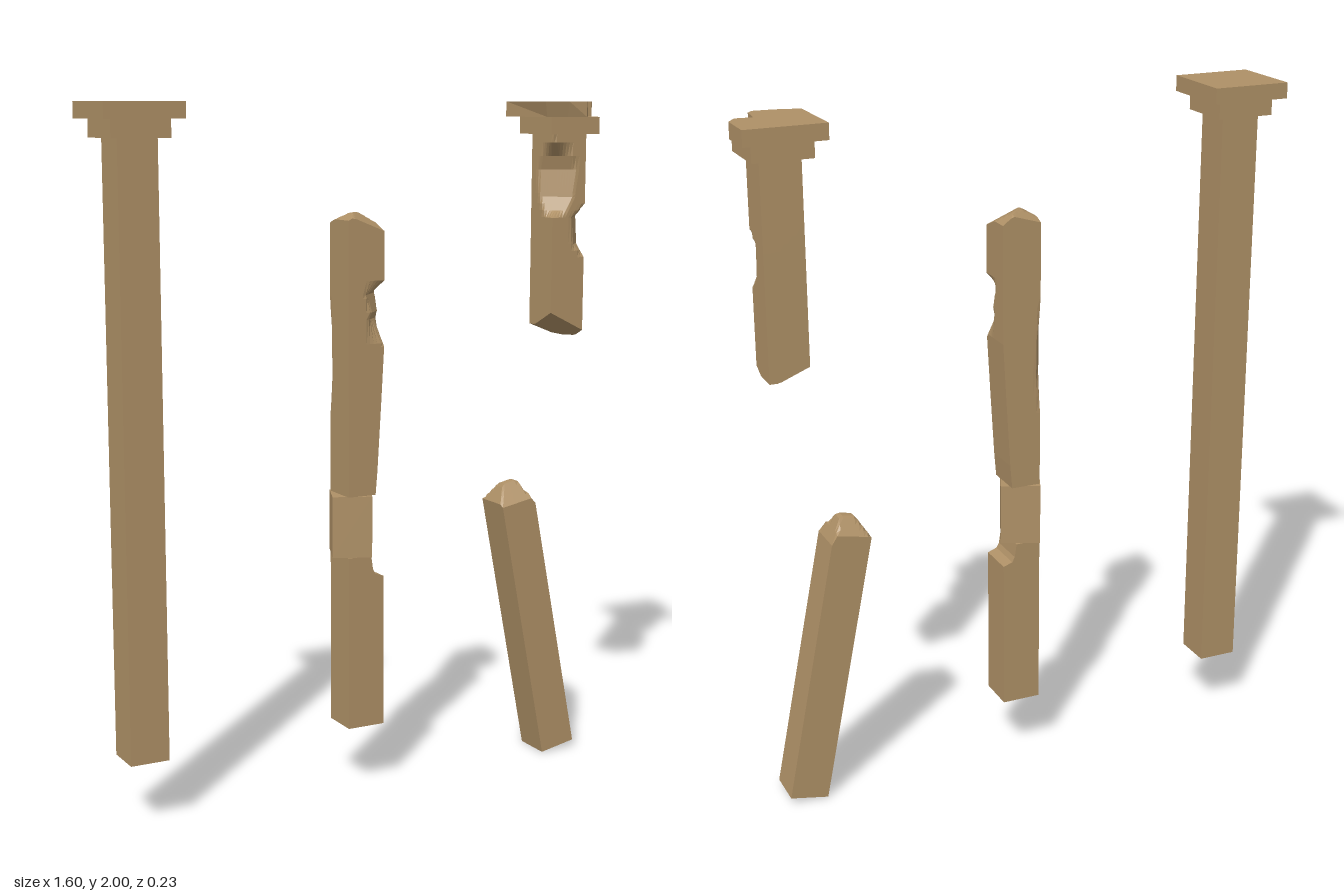
import * as THREE from 'three';

const stone = new THREE.MeshStandardMaterial({ color: 0xae9066, flatShading: true });
const W = 0.115, D = Math.SQRT1_2;
const SEAMS = [0.355, 0.53, 0.7, 0.88, 1.05, 1.22, 1.39, 1.56, 1.73];

function add(group, name, geometry) {
  const mesh = new THREE.Mesh(geometry, stone);
  mesh.name = name;
  group.add(mesh);
  return mesh;
}

function slab(group, name, w, y0, y1) {
  return add(group, name, new THREE.BoxGeometry(w, y1 - y0, w).translate(0, (y0 + y1) / 2, 0));
}

// Limit of a cut at height y, Infinity outside its profile
function limitAt(profile, y) {
  for (let i = 0; i < profile.length - 1; i++) {
    const [ya, a] = profile[i], [yb, b] = profile[i + 1];
    if (y >= ya && y <= yb) return a + (b - a) * (y - ya) / (yb - ya);
  }
  return Infinity;
}

// Block worn by side cuts and by sloping planes [height, x slope, z slope]
function wornBlock(group, name, y0, y1, { cuts = [], tops = [], bottoms = [] }) {
  const ys = [y0, y1];
  for (const c of cuts) for (const [y] of c.profile) if (y > y0 && y < y1) ys.push(y);
  const rings = [...new Set(ys)].sort((a, b) => a - b), n = rings.length - 1;
  const geo = new THREE.BoxGeometry(W, 1, W, 10, n, 10);
  const p = geo.attributes.position;
  for (let i = 0; i < p.count; i++) {
    let x = p.getX(i), z = p.getZ(i), y = rings[Math.round((p.getY(i) + 0.5) * n)];
    for (const { dir: [dx, dz], profile } of cuts) {
      const over = Math.max(0, x * dx + z * dz - limitAt(profile, y));
      x -= dx * over;
      z -= dz * over;
    }
    for (const [h, sx, sz] of tops) y = Math.min(y, h + sx * x + sz * z);
    for (const [h, sx, sz] of bottoms) y = Math.max(y, h + sx * x + sz * z);
    p.setXYZ(i, x, y, z);
  }
  geo.computeVertexNormals();
  return add(group, name, geo);
}

// Stack of blocks split at the seams
function shaft(group, y0, y1, seams = SEAMS, wear = null) {
  const ys = [y0, ...seams.filter(s => s > y0 + 0.01 && s < y1 - 0.01), y1];
  for (let i = 0; i < ys.length - 1; i++) {
    const name = 'shaftBlock' + (i + 1);
    if (wear) wornBlock(group, name, ys[i], ys[i + 1], wear);
    else slab(group, name, W, ys[i], ys[i + 1]);
  }
}

function part(parent, name, x, y = 0) {
  const g = new THREE.Group();
  g.name = name;
  g.position.set(x, y, 0);
  parent.add(g);
  return g;
}

export function createModel() {
  const model = new THREE.Group();
  model.name = 'ruinedPillars';

  // Intact pillar
  const whole = part(model, 'intactPillar', -0.685);
  shaft(whole, 0.185, 1.905);
  slab(whole, 'capitalNeck', 0.17, 1.905, 1.955);
  slab(whole, 'capitalSlab', 0.23, 1.955, 2);

  // Cracked pillar with a twisted block
  const cracked = part(model, 'crackedPillar', -0.0025);
  shaft(cracked, 0.185, 0.7, SEAMS, {
    cuts: [{ dir: [1, 0], profile: [[0.635, 0.0575], [0.645, 0.03], [0.66, 0.022], [0.7, 0.016]] }],
  });
  const twisted = slab(cracked, 'twistedBlock', W, 0.7, 0.88);
  twisted.position.x = -0.021;
  twisted.rotation.y = -0.4;
  shaft(cracked, 0.88, 1.69, SEAMS, {
    cuts: [
      { dir: [1, 0], profile: [[0.88, 0.03], [0.95, 0.036], [1.15, 0.048], [1.32, 0.0575]] },
      { dir: [D, D], profile: [[1.31, 0.082], [1.39, 0.045], [1.41, 0.052], [1.46, 0.038], [1.5, 0.082]] },
      { dir: [-D, -D], profile: [[1.1, 0.082], [1.22, 0.072], [1.32, 0.073], [1.45, 0.082]] },
    ],
    tops: [[1.69, 0, 0], [1.7, 0.5, 0], [1.705, -0.75, 0], [1.685, -0.4, -0.4], [1.7, 0.3, 0.4]],
  });

  // Broken upper piece with its damaged capital
  const upper = part(model, 'brokenUpperPiece', 0.68);
  shaft(upper, 1.3, 1.905, SEAMS, {
    cuts: [
      { dir: [-D, D], profile: [[1.66, 0.082], [1.68, 0.045], [1.72, 0.03], [1.8, 0.022], [1.84, 0.035], [1.88, 0.075], [1.905, 0.08]] },
      { dir: [D, D], profile: [[1.54, 0.082], [1.58, 0.053], [1.66, 0.047], [1.7, 0.082]] },
    ],
    bottoms: [[1.3, 0, 0], [1.312, -0.4, 0], [1.32, -0.5, 0.5]],
  });
  slab(upper, 'capitalNeck', 0.17, 1.905, 1.955);
  const outline = [[-0.115, -0.115], [0.115, -0.115], [0.115, 0], [0.09, 0.035], [0.04, 0.03],
    [0.035, 0.095], [0.02, 0.113], [-0.04, 0.108], [-0.11, 0.09]];
  const slabGeo = new THREE.ExtrudeGeometry(
    new THREE.Shape(outline.map(([x, z]) => new THREE.Vector2(x, -z))),
    { depth: 0.045, bevelEnabled: false }).rotateX(-Math.PI / 2);
  // Chipped underside of the front corner
  const sp = slabGeo.attributes.position;
  for (let i = 0; i < sp.count; i++) {
    if (sp.getY(i) < 0.01 && sp.getX(i) < -0.03 && sp.getZ(i) > 0.08) {
      sp.setXYZ(i, sp.getX(i) * 0.88, 0, sp.getZ(i) * 0.88);
    }
  }
  slabGeo.computeVertexNormals();
  add(upper, 'brokenCapitalSlab', slabGeo).position.y = 1.955;

  // Leaning stump with a jagged tip
  const leaning = part(model, 'leaningStump', 0.6775, 0.012);
  leaning.rotation.z = 0.195;
  shaft(leaning, 0, 0.867, [0.178, 0.352, 0.526, 0.7], {
    tops: [[0.867, 0, 0], [0.883, 1.1, 0], [0.965, -3, 0], [0.88, 0, -1.2], [0.89, 0, 1.2]],
  });

  return model;
}
